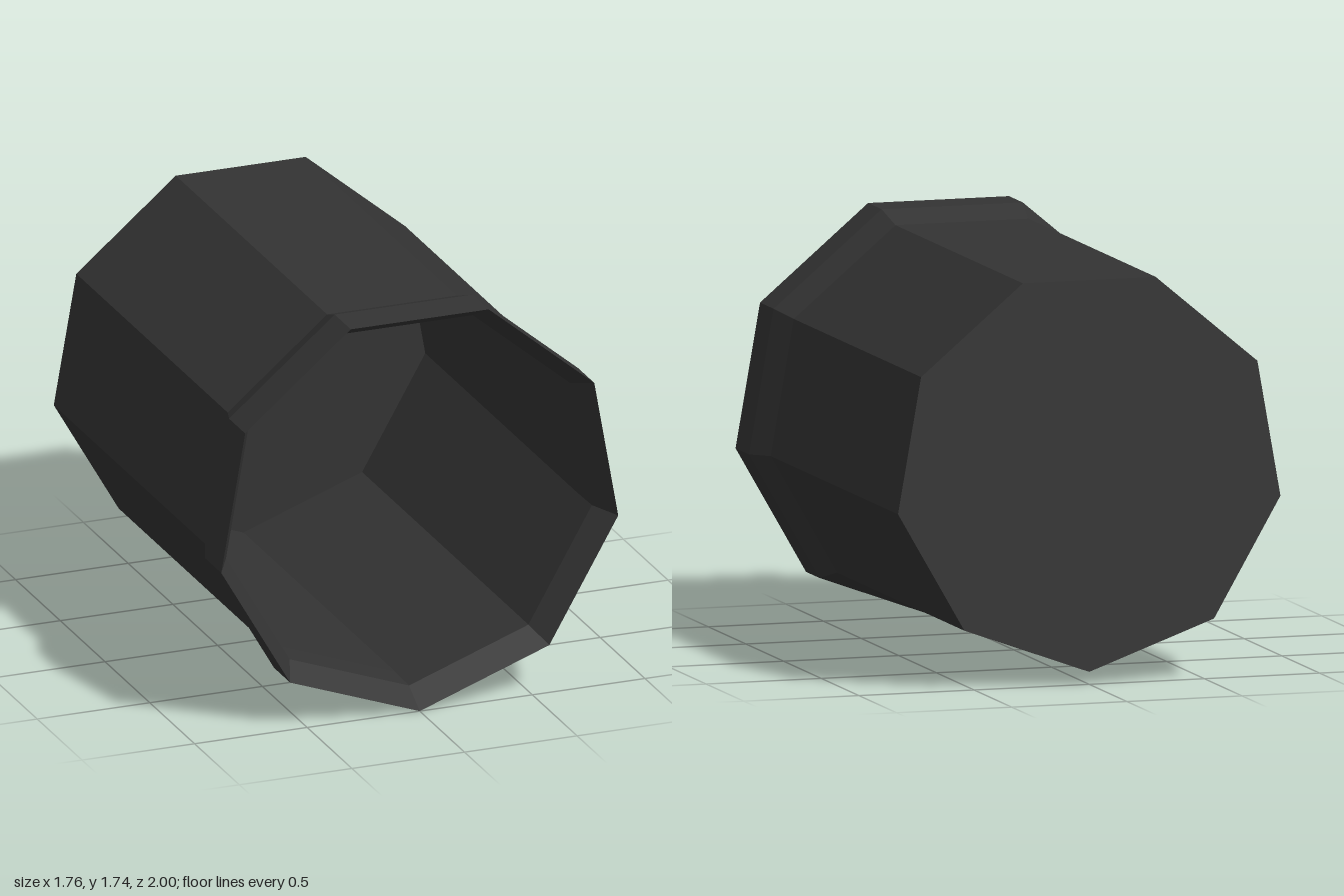
import * as THREE from 'three';

export function createModel() {
  const group = new THREE.Group();
  group.name = 'barrelCup';

  const charcoal = new THREE.MeshStandardMaterial({ color: 0x333333, flatShading: true });
  charcoal.name = 'charcoal';

  const sides = 9;
  const centreY = 0.895;

  // Revolve [radius, z] pairs around the z axis, one corner pointing down
  function addRing(name, profile) {
    const points = profile.map(([r, z]) => new THREE.Vector2(r, z));
    const geometry = new THREE.LatheGeometry(points, sides);
    geometry.rotateX(Math.PI / 2);
    const mesh = new THREE.Mesh(geometry, charcoal);
    mesh.name = name;
    mesh.position.y = centreY;
    group.add(mesh);
  }

  // Closed back end and straight outer wall
  addRing('outerShell', [[0, -1], [0.843, -1], [0.843, 0.69]]);

  // Flared collar, with a bevel leading into the mouth
  addRing('collar', [[0.843, 0.69], [0.895, 0.82], [0.895, 1], [0.825, 0.88], [0.82, 0.72]]);

  // Hollow interior and its floor
  addRing('innerShell', [[0.82, 0.72], [0.82, -0.97], [0, -0.97]]);

  return group;
}
